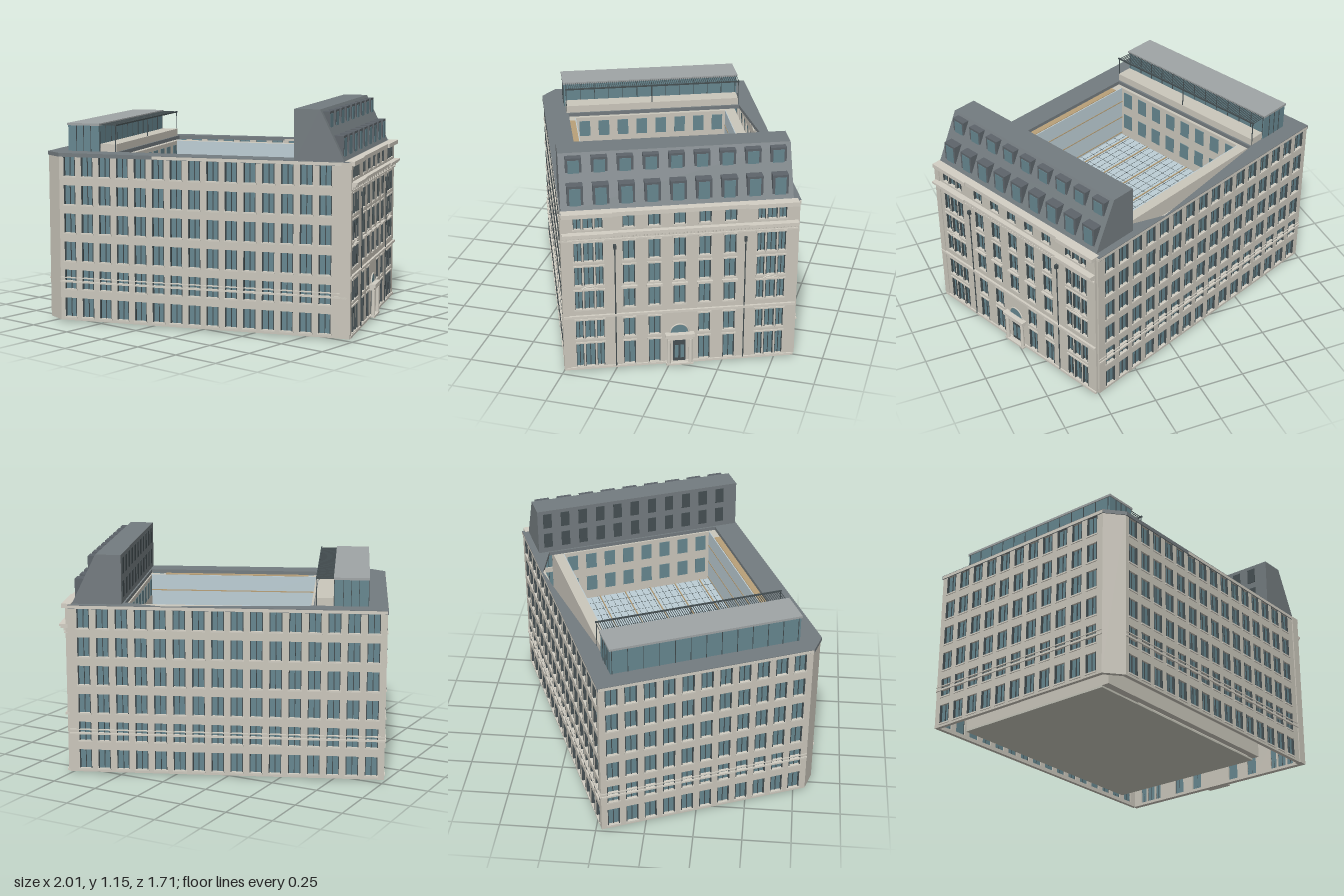
import * as THREE from 'three';
import { mergeGeometries } from 'three/addons/utils/BufferGeometryUtils.js';

const mat = (color) => new THREE.MeshStandardMaterial({ color, side: THREE.DoubleSide });
const STONE = mat(0xcac6bb), TRIM = mat(0xd2cec3), GLASS = mat(0x66868f), FRAME = mat(0x454f52);
const SLATE = mat(0x737b7f), DARK = mat(0x5d646a), PALE = mat(0x9fa4a5), SKYLIGHT = mat(0xbccdd4);
const TAN = mat(0xb8a078), BASE = mat(0xc4c4b8);

function add(parent, name, geometry, material) {
  const mesh = new THREE.Mesh(geometry, material);
  mesh.name = name;
  parent.add(mesh);
  return mesh;
}

// One mesh from many boxes, each given by its limits [x0, x1, y0, y1, z0, z1]
function boxes(parent, name, material, list) {
  return add(parent, name, mergeGeometries(list.map(([x0, x1, y0, y1, z0, z1]) =>
    new THREE.BoxGeometry(x1 - x0, y1 - y0, z1 - z0)
      .translate((x0 + x1) / 2, (y0 + y1) / 2, (z0 + z1) / 2))), material);
}

const points = (list) => list.map(([x, y]) => new THREE.Vector2(x, y));
const rect = (x0, x1, y0, y1) => [[x0, y0], [x1, y0], [x1, y1], [x0, y1]];

// Horizontal slab with an optional opening, top surface at yTop
function slab(parent, name, material, outline, hole, yTop, depth) {
  const shape = new THREE.Shape(points(outline));
  if (hole) shape.holes.push(new THREE.Path(points(hole)));
  const g = new THREE.ExtrudeGeometry(shape, { depth, bevelEnabled: false });
  return add(parent, name, g.rotateX(Math.PI / 2).translate(0, yTop, 0), material);
}

// Wall from A to B with window openings; local x runs along it, local z points outward
function facade(parent, name, [ax, az], [bx, bz], windows) {
  const group = new THREE.Group();
  group.name = name;
  group.position.set(ax, 0, az);
  group.rotation.y = Math.atan2(az - bz, bx - ax);
  parent.add(group);
  const width = Math.hypot(bx - ax, bz - az);
  const shape = new THREE.Shape(points(rect(0, width, 0.01, 0.885)));
  for (const [x0, x1, y0, y1] of windows) shape.holes.push(new THREE.Path(points(rect(x0, x1, y0, y1))));
  const g = new THREE.ExtrudeGeometry(shape, { depth: 0.02, bevelEnabled: false });
  add(group, name + 'Wall', g.translate(0, 0, -0.02), STONE);
  if (windows.length) {
    const glass = new THREE.PlaneGeometry(width - 0.04, 0.86).translate(width / 2, 0.45, -0.012);
    add(group, name + 'Glazing', glass, GLASS);
    boxes(group, name + 'WindowFrames', FRAME, windows.flatMap(([x0, x1, y0, y1]) => {
      const w = x1 - x0, m = x0 + w / 2;
      return [[x0, x0 + w * 0.07, y0, y1, -0.012, 0.001], [x1 - w * 0.07, x1, y0, y1, -0.012, 0.001],
        [m - 0.002, m + 0.002, y0, y1, -0.012, -0.008]];
    }));
    boxes(group, name + 'Sills', TRIM, windows.map(([x0, x1, y0]) =>
      [x0 - 0.004, x1 + 0.004, y0 - 0.008, y0, -0.01, 0.005]));
  }
  return { group, width };
}

// Regular office elevation: six storeys of equal windows plus string courses
function officeFacade(parent, name, a, b, count, first, step) {
  const windows = [];
  for (let r = 0; r < 6; r++) for (let i = 0; i < count; i++) {
    const x = first + i * step, y = 0.03 + r * 0.149;
    windows.push([x - 0.032, x + 0.032, y, y + 0.1]);
  }
  const { group, width } = facade(parent, name, a, b, windows);
  boxes(group, name + 'StringCourses', TRIM, [[0, width, 0.212, 0.222, -0.01, 0.006],
    [0, width, 0.235, 0.24, -0.01, 0.004], [0, width, 0.876, 0.892, -0.01, 0.005]]);
}

function ornateFacade(parent) {
  const rows = [[0.025, 0.16], [0.19, 0.295], [0.36, 0.465], [0.495, 0.6], [0.63, 0.735], [0.81, 0.87]];
  const ends = [0.13, 1.046], bays = [0, 1, 2, 3, 4].map((i) => 0.33 + i * 0.127), door = bays[2];
  const windows = [];
  rows.forEach(([y0, y1], r) => {
    bays.forEach((x, i) => { if (i !== 2 || r > 1) windows.push([x - 0.03, x + 0.03, y0, y1]); });
    for (const c of ends) for (const [d, h] of [[-0.053, 0.019], [0, 0.025], [0.053, 0.019]])
      windows.push([c + d - h, c + d + h, y0, y1]);
  });
  const { group, width } = facade(parent, 'entranceFacade', [0.802, 0.602], [0.802, -0.575], windows);

  // Cornices that step forward over the end bays, dentils and window heads
  const trim = [[0, width, 0.745, 0.752, -0.01, 0.008], [0, width, 0.312, 0.325, -0.01, 0.012],
    [0, width, 0.01, 0.022, -0.01, 0.008]];
  for (const [x0, x1, out] of [[0, 0.25, 0.008], [0.25, 0.925, 0], [0.925, width, 0.008]])
    trim.push([x0, x1, 0.772, 0.782, -0.01, 0.018 + out], [x0, x1, 0.782, 0.793, -0.01, 0.026 + out],
      [x0, x1, 0.876, 0.898, -0.03, 0.012 + out]);
  for (let x = 0.01; x < width - 0.01; x += 0.018) trim.push([x, x + 0.009, 0.757, 0.772, -0.01, 0.012]);
  for (const [x0, x1, , y1] of windows)
    if (y1 < 0.8) trim.push([x0 - 0.006, x1 + 0.006, y1, y1 + 0.008, -0.01, 0.006]);
  for (const x of bays) trim.push([x - 0.04, x + 0.04, 0.473, 0.483, -0.01, 0.014]);
  for (const c of ends) trim.push([c - 0.04, c + 0.04, 0.473, 0.48, -0.01, 0.014]);
  boxes(group, 'facadeTrim', TRIM, trim);

  // Curved window pediments
  for (const c of ends) {
    const p = add(group, 'curvedPediment', new THREE.TorusGeometry(0.04, 0.005, 6, 16, Math.PI), TRIM);
    p.position.set(c, 0.466, 0.006);
    p.scale.y = 0.6;
  }

  // Doorway with pillars, entablature and fanlight
  boxes(group, 'doorSurround', TRIM, [[door - 0.075, door + 0.075, 0.172, 0.19, -0.01, 0.032],
    [door - 0.065, door + 0.065, 0.155, 0.172, -0.01, 0.022],
    [door - 0.07, door + 0.07, 0.01, 0.02, -0.01, 0.03]]);
  for (const s of [-1, 1]) {
    const pillar = add(group, 'doorPillar', new THREE.CylinderGeometry(0.009, 0.011, 0.14, 12), TRIM);
    pillar.position.set(door + s * 0.056, 0.087, 0.018);
  }
  boxes(group, 'door', FRAME, [[door - 0.032, door + 0.032, 0.014, 0.15, -0.01, 0.004]]);
  boxes(group, 'doorPanels', GLASS, [-0.015, 0.015].map((d) =>
    [door + d - 0.009, door + d + 0.009, 0.04, 0.115, 0, 0.006]));
  add(group, 'fanlight', new THREE.CircleGeometry(0.046, 20, 0, Math.PI), GLASS).position.set(door, 0.19, 0.004);
  add(group, 'fanlightArch', new THREE.TorusGeometry(0.048, 0.004, 6, 20, Math.PI), TRIM).position.set(door, 0.19, 0.004);

  // Rainwater pipes with hoppers
  for (const x of [0.26, 0.914]) {
    add(group, 'drainpipe', new THREE.CylinderGeometry(0.003, 0.003, 0.68, 8), FRAME).position.set(x, 0.36, 0.007);
    boxes(group, 'hopper', FRAME, [[x - 0.007, x + 0.007, 0.695, 0.718, 0, 0.016]]);
  }
}

function mansard(parent) {
  const profile = new THREE.Shape(points([[0.514, 0.885], [0.775, 0.885], [0.645, 1.15], [0.514, 1.15]]));
  const g = new THREE.ExtrudeGeometry(profile, { depth: 1.155, bevelEnabled: false });
  add(parent, 'mansardRoof', g.translate(0, 0, -0.555), SLATE);
  // Two aligned rows of dormers
  const bodies = [], panes = [];
  for (let i = 0; i < 9; i++) {
    const v = 0.527 - i * 0.127;
    for (const [u0, u1, y0, y1] of [[0.66, 0.758, 0.9, 1.02], [0.6, 0.688, 1.03, 1.138]]) {
      bodies.push([u0, u1, y0, y1, v - 0.04, v + 0.04]);
      panes.push([u1 - 0.004, u1 + 0.002, y0 + 0.012, y1 - 0.012, v - 0.028, v + 0.028]);
    }
  }
  boxes(parent, 'dormers', DARK, bodies);
  boxes(parent, 'dormerWindows', GLASS, panes);
  // Windows toward the courtyard
  const inner = [];
  for (let i = 0; i < 11; i++) for (const y of [0.925, 1.045]) {
    const v = -0.5 + i * 0.1;
    inner.push([0.511, 0.518, y, y + 0.085, v - 0.024, v + 0.024]);
  }
  boxes(parent, 'mansardCourtWindows', FRAME, inner);
}

function penthouse(parent) {
  boxes(parent, 'penthouseGlass', GLASS, [[-0.737, -0.565, 0.885, 1.03, -0.5, 0.492]]);
  boxes(parent, 'penthouseRoof', PALE, [[-0.742, -0.56, 1.03, 1.042, -0.505, 0.497]]);
  const bars = [];
  for (let i = 0; i <= 12; i++) {
    const v = -0.492 + i * 0.081;
    bars.push([-0.74, -0.562, 0.89, 1.03, v - 0.0015, v + 0.0015]);
  }
  for (const u of [-0.69, -0.65, -0.61]) bars.push([u - 0.0015, u + 0.0015, 0.89, 1.03, -0.503, 0.495]);
  boxes(parent, 'penthouseMullions', FRAME, bars);
  // Slatted canopy over the terrace
  const slats = [[-0.476, -0.47, 1.03, 1.038, -0.5, 0.49]];
  for (let i = 0; i < 90; i++) slats.push([-0.56, -0.472, 1.033, 1.036, -0.5 + i * 0.011, -0.4975 + i * 0.011]);
  for (const v of [-0.495, 0, 0.485]) slats.push([-0.476, -0.472, 0.89, 1.03, v - 0.002, v + 0.002]);
  boxes(parent, 'canopy', FRAME, slats);
  boxes(parent, 'terraceParapet', STONE, [[-0.56, -0.47, 0.885, 0.935, -0.495, 0.485]]);
}

function courtyard(parent) {
  const [u0, u1, v0, v1, floor] = [-0.445, 0.5, -0.42, 0.44, 0.56];
  slab(parent, 'courtWalls', STONE, rect(-0.72, 0.55, -0.475, 0.475), rect(u0, u1, v0, v1), 0.872, 0.862);
  slab(parent, 'baseSlab', BASE, rect(-0.72, 0.55, -0.475, 0.435), null, 0.01, 0.01);
  boxes(parent, 'frontLedge', TAN, [[-0.4, 0.42, 0.868, 0.876, 0.442, 0.475]]);
  boxes(parent, 'glassRoof', SKYLIGHT, [[u0, u1, floor - 0.01, floor, v0, v1]]);
  const beams = [], grid = [];
  for (let i = 0; i < 6; i++)
    beams.push([u0, u1, floor - 0.002, floor + 0.006, v0 + 0.05 + i * 0.15, v0 + 0.055 + i * 0.15]);
  for (let v = v0 + 0.0375; v < v1; v += 0.0375) grid.push([u0, u1, floor - 0.001, floor + 0.001, v, v + 0.0015]);
  for (let u = u0 + 0.065; u < u1; u += 0.068) grid.push([u, u + 0.0015, floor - 0.001, floor + 0.001, v0, v1]);
  boxes(parent, 'glassRoofBeams', TAN, beams);
  boxes(parent, 'glassRoofGrid', FRAME, grid);
  // Glazed long sides with floor bands, punched windows on the short sides
  const glazing = [], bands = [], panes = [];
  for (const [v, d] of [[v0, 0.004], [v1, -0.004]]) {
    glazing.push([u0, u1, floor, 0.872, Math.min(v, v + d), Math.max(v, v + d)]);
    for (const y of [0.57, 0.675, 0.78]) bands.push([u0, u1, y, y + 0.006, v - 0.006, v + 0.006]);
  }
  for (const u of [u0, u1]) for (const y of [0.615, 0.76]) for (let i = 0; i < 8; i++) {
    const v = -0.37 + i * 0.108;
    panes.push([u - 0.003, u + 0.003, y, y + 0.09, v - 0.03, v + 0.03]);
  }
  boxes(parent, 'courtGlazing', SKYLIGHT, glazing);
  boxes(parent, 'courtBands', TAN, bands);
  boxes(parent, 'courtWindows', GLASS, panes);
}

export function createModel() {
  const model = new THREE.Group();
  model.name = 'officeBlock';
  const block = new THREE.Group();
  block.name = 'building';
  block.rotation.y = THREE.MathUtils.degToRad(23);
  model.add(block);

  // Street elevations
  officeFacade(block, 'frontFacade', [-0.745, 0.602], [0.79, 0.602], 15, 0.057, 0.0975);
  officeFacade(block, 'backFacade', [0.79, -0.585], [-0.834, -0.59], 16, 0.08, 0.0985);
  officeFacade(block, 'sideFacade', [-0.834, -0.59], [-0.834, 0.528], 11, 0.065, 0.0985);
  facade(block, 'cornerFacade', [-0.834, 0.528], [-0.745, 0.602], []);
  ornateFacade(block);
  boxes(block, 'cornerPier', STONE, [[0.757, 0.808, 0.01, 0.892, 0.575, 0.608]]);

  // Flat roof around the courtyard
  slab(block, 'flatRoof', SLATE,
    [[-0.838, -0.595], [0.787, -0.59], [0.8, 0.605], [-0.745, 0.608], [-0.838, 0.53]],
    [[-0.46, -0.5], [0.31, -0.583], [0.505, -0.5], [0.505, 0.475], [-0.46, 0.475]], 0.895, 0.02);
  courtyard(block);
  mansard(block);
  penthouse(block);
  return model;
}
